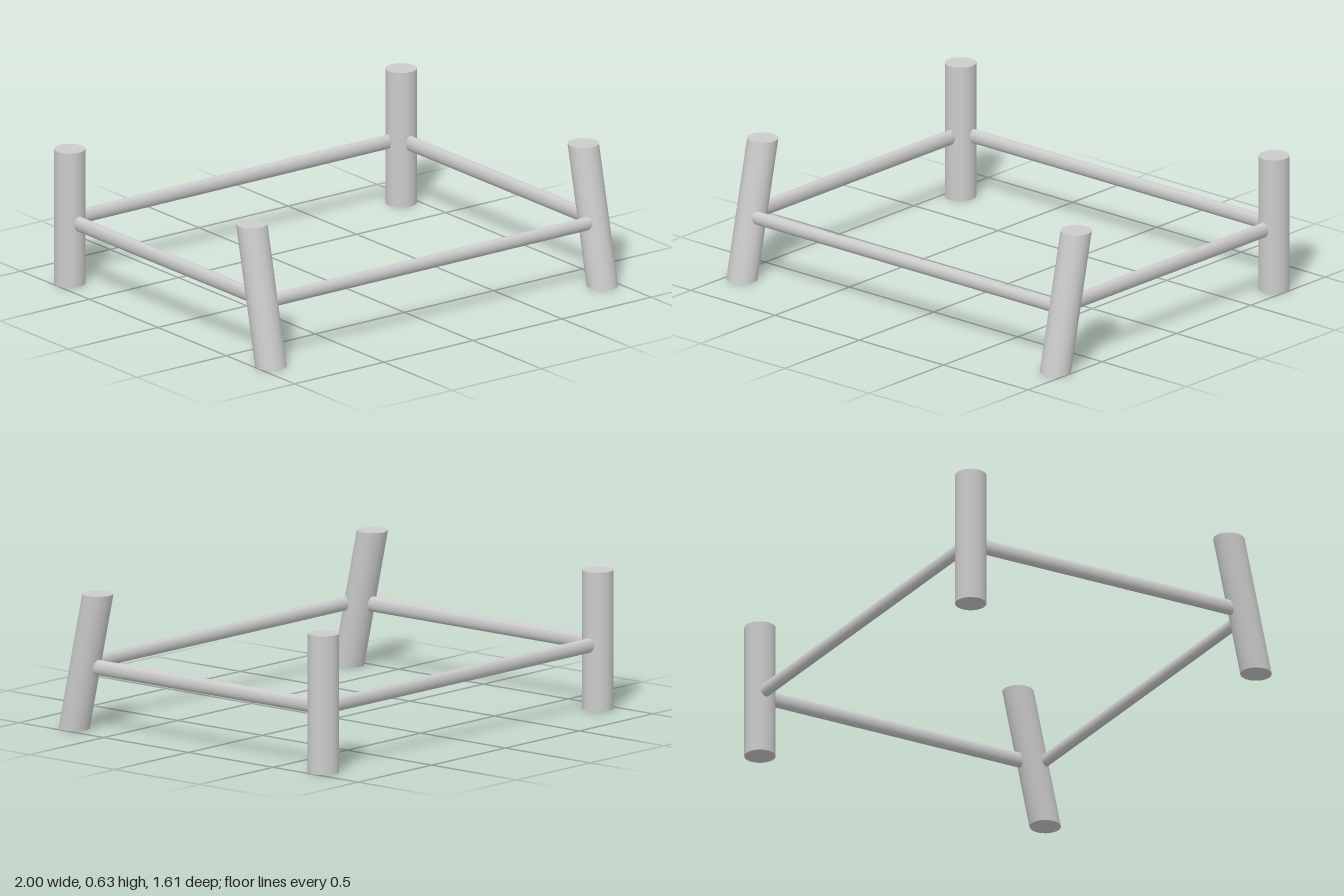
import * as THREE from 'three';

const LEG_HEIGHT = 0.63, LEG_RADIUS = 0.07, LEG_X = 0.93, LEG_Z = 0.735;
const FRONT_LEAN = -0.14 / LEG_HEIGHT; // z shift per unit of height

export function createModel() {
  const model = new THREE.Group();
  const material = new THREE.MeshStandardMaterial({ color: 0xcccccc });

  const add = (name, geometry, x, y, z) => {
    const mesh = new THREE.Mesh(geometry, material);
    mesh.name = name;
    mesh.position.set(x, y, z);
    model.add(mesh);
  };

  // Round leg standing on the ground; a shear keeps both ends level
  const legGeometry = (lean) => {
    const g = new THREE.CylinderGeometry(LEG_RADIUS, LEG_RADIUS, LEG_HEIGHT, 32);
    g.translate(0, LEG_HEIGHT / 2, 0);
    return g.applyMatrix4(new THREE.Matrix4().makeShear(0, 0, 0, lean, 0, 0));
  };

  // Oval rail lying along x, taller than it is wide
  const railGeometry = (length, halfHeight, halfWidth) =>
    new THREE.CylinderGeometry(1, 1, length, 32)
      .rotateZ(Math.PI / 2)
      .scale(1, halfHeight, halfWidth);

  // Legs and side rails, mirrored left and right
  for (const [side, s] of [['left', 1], ['right', -1]]) {
    add(`${side}FrontLeg`, legGeometry(FRONT_LEAN), s * LEG_X, 0, LEG_Z);
    add(`${side}BackLeg`, legGeometry(0), s * LEG_X, 0, -LEG_Z);
    add(`${side}SideRail`, railGeometry(1.38, 0.035, 0.024).rotateY(Math.PI / 2),
      s * LEG_X, 0.295, -0.035);
  }

  // Cross rails
  add('frontRail', railGeometry(1.82, 0.031, 0.023), 0, 0.292, 0.70);
  add('backRail', railGeometry(1.82, 0.033, 0.023), 0, 0.297, -0.743);

  return model;
}
